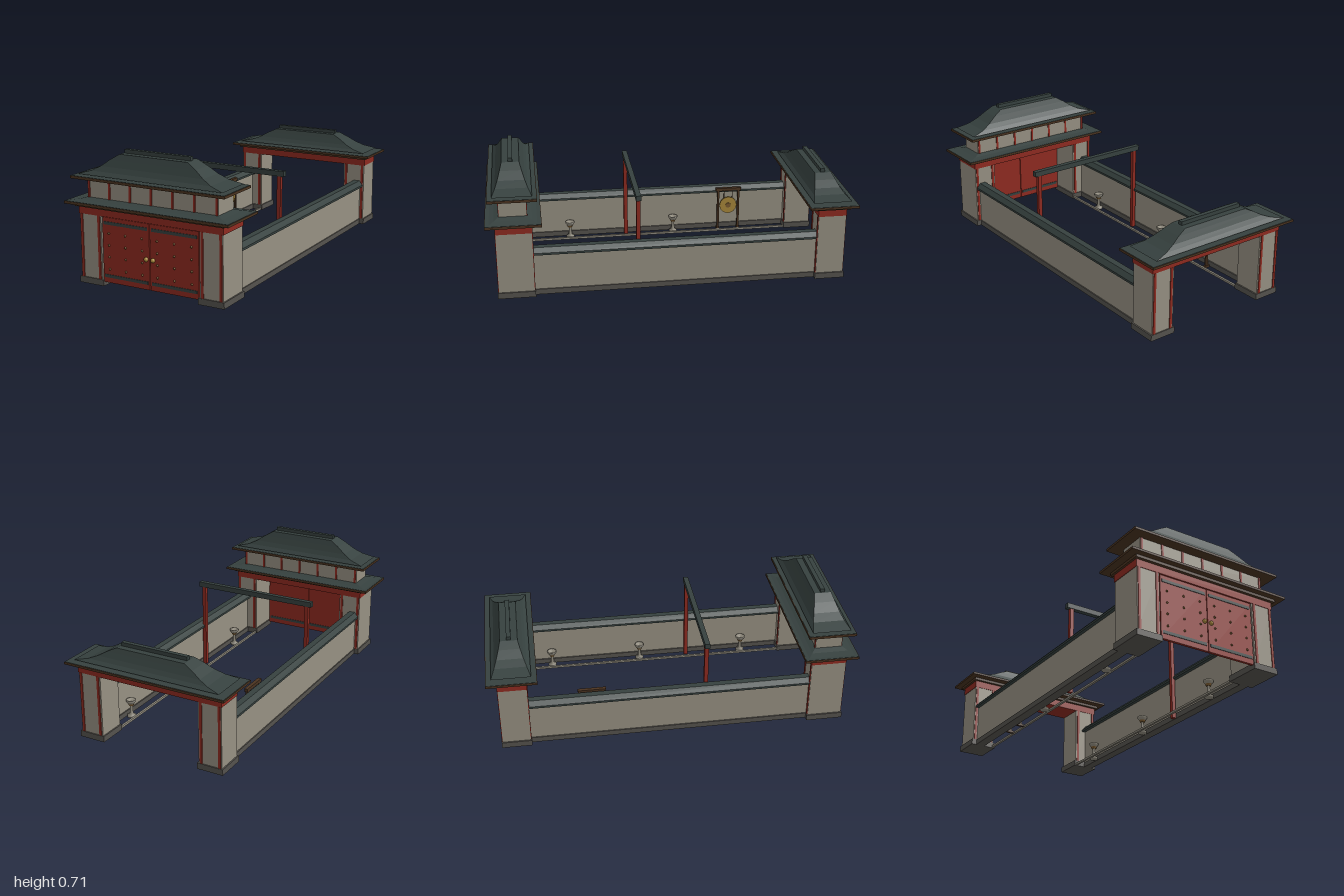
import * as THREE from 'three';

const mat = (name, color) => {
  const m = new THREE.MeshStandardMaterial({ color });
  m.name = name;
  return m;
};

export function createModel() {
  const tile = mat('dark roof tile', 0x36413f);
  const plaster = mat('plaster', 0x969082);
  const red = mat('red lacquer', 0x8e2a20);
  const wood = mat('dark wood', 0x4a3320);
  const stone = mat('foundation stone', 0x55524d);
  const gold = mat('brass', 0xa8873a);
  const paleStone = mat('pale stone', 0x8f8a7d);
  const bronze = mat('bronze', 0x7a5a30);

  const root = new THREE.Group();
  root.name = 'gatedCourtyard';

  const add = (parent, name, geo, material, x = 0, y = 0, z = 0) => {
    const m = new THREE.Mesh(geo, material);
    m.name = name;
    m.position.set(x, y, z);
    parent.add(m);
    return m;
  };
  // Box given by its limits on each axis
  const box = (parent, name, material, x0, x1, y0, y1, z0, z1) =>
    add(parent, name, new THREE.BoxGeometry(x1 - x0, y1 - y0, z1 - z0), material,
      (x0 + x1) / 2, (y0 + y1) / 2, (z0 + z1) / 2);
  const group = (name, z = 0) => {
    const g = new THREE.Group();
    g.name = name;
    g.position.z = z;
    root.add(g);
    return g;
  };

  // Rectangular rings [halfX, y, halfZ] joined into a closed, faceted roof
  const roofGeometry = (rings) => {
    const pos = [];
    const corner = ([x, y, z], k) => [[x, y, z], [x, y, -z], [-x, y, -z], [-x, y, z]][k % 4];
    const quad = (a, b, c, d) => pos.push(...a, ...b, ...c, ...a, ...c, ...d);
    for (let i = 0; i < rings.length - 1; i++)
      for (let k = 0; k < 4; k++)
        quad(corner(rings[i], k), corner(rings[i], k + 1), corner(rings[i + 1], k + 1), corner(rings[i + 1], k));
    const b = rings[0], t = rings[rings.length - 1];
    quad(corner(t, 0), corner(t, 1), corner(t, 2), corner(t, 3));
    quad(corner(b, 3), corner(b, 2), corner(b, 1), corner(b, 0));
    const g = new THREE.BufferGeometry();
    g.setAttribute('position', new THREE.Float32BufferAttribute(pos, 3));
    g.computeVertexNormals();
    return g;
  };

  // Eave board with a thin tiled top
  const eave = (parent, hx, hz, y0, y1, dz = 0) => {
    box(parent, 'eaveBoard', wood, -hx, hx, y0, y1, dz - hz, dz + hz);
    box(parent, 'eaveTiles', tile, -hx + 0.003, hx - 0.003, y1, y1 + 0.002, dz - hz + 0.003, dz + hz - 0.003);
  };

  // Concave hipped roof with a ridge cap
  const hipRoof = (parent, y, h) => {
    const profile = [[0.425, 0, 0.105], [0.35, 0.18, 0.086], [0.3, 0.41, 0.072], [0.25, 0.73, 0.058], [0.2, 1, 0.047]];
    add(parent, 'hippedRoof', roofGeometry(profile.map(([x, t, z]) => [x, y + t * h, z])), tile);
    box(parent, 'ridgeCap', tile, -0.193, 0.193, y + h, y + h + 0.02, -0.012, 0.012);
  };

  // Two piers, corner posts, lintel and beam, shared by both gates
  const gateFrame = (parent, hz) => {
    for (const s of [-1, 1]) {
      const span = (a, b) => (s > 0 ? [a, b] : [-b, -a]);
      box(parent, 'pierBase', stone, ...span(0.282, 0.43), 0, 0.033, -hz - 0.006, hz + 0.006);
      box(parent, 'pier', plaster, ...span(0.29, 0.422), 0.033, 0.37, -hz, hz);
      for (const x of [0.305, 0.41])
        for (const f of [-1, 1])
          box(parent, 'pierPost', red, ...span(x - 0.007, x + 0.007), 0.033, 0.37, f * hz - 0.004, f * hz + 0.004);
    }
    box(parent, 'lintel', red, -0.425, 0.425, 0.37, 0.41, -hz - 0.003, hz + 0.003);
    box(parent, 'beam', wood, -0.437, 0.437, 0.41, 0.425, -hz - 0.02, hz + 0.02);
  };

  // Front gate
  const front = group('frontGate', 0.852);
  gateFrame(front, 0.095);
  eave(front, 0.48, 0.148, 0.425, 0.438);
  add(front, 'skirtRoof', roofGeometry([[0.46, 0.441, 0.125], [0.42, 0.446, 0.1], [0.387, 0.455, 0.075]]), tile);
  box(front, 'upperStorey', plaster, -0.385, 0.385, 0.44, 0.556, -0.072, 0.072);
  for (let i = -3; i <= 3; i++)
    for (const f of [-1, 1])
      box(front, 'upperPost', red, i * 0.125 - 0.006, i * 0.125 + 0.006, 0.44, 0.556, f * 0.072 - 0.004, f * 0.072 + 0.004);
  eave(front, 0.45, 0.13, 0.556, 0.569);
  hipRoof(front, 0.578, 0.112);

  // Double doors with iron bands, studs and knobs
  const studGeo = new THREE.SphereGeometry(0.006, 8, 6);
  const knobGeo = new THREE.SphereGeometry(0.012, 10, 8);
  for (const s of [-1, 1]) {
    const door = new THREE.Group();
    door.name = s > 0 ? 'leftDoor' : 'rightDoor';
    front.add(door);
    const span = (a, b) => (s > 0 ? [a, b] : [-b, -a]);
    box(door, 'doorLeaf', red, ...span(0.002, 0.284), 0.022, 0.367, 0.078, 0.093);
    for (const y of [0.058, 0.338])
      box(door, 'doorBand', tile, ...span(0.012, 0.275), y - 0.008, y + 0.008, 0.075, 0.096);
    for (const x of [0.045, 0.145, 0.245])
      for (const y of [0.095, 0.16, 0.222, 0.285])
        add(door, 'doorStud', studGeo, bronze, s * x, y, 0.095);
    add(door, 'doorKnob', knobGeo, gold, s * 0.02, 0.182, 0.097);
  }

  // Back gate, an open passage
  const back = group('backGate', -0.865);
  gateFrame(back, 0.076);
  eave(back, 0.468, 0.135, 0.427, 0.439);
  hipRoof(back, 0.45, 0.09);

  // Side walls with tiled coping and low inner rails
  const coping = new THREE.Shape();
  [[-0.04, 0], [0.04, 0], [0.04, 0.012], [0.018, 0.036], [-0.018, 0.036], [-0.04, 0.012]]
    .forEach(([x, y], i) => (i ? coping.lineTo(x, y) : coping.moveTo(x, y)));
  const copingGeo = new THREE.ExtrudeGeometry(coping, { depth: 1.55, bevelEnabled: false });
  const walls = group('sideWalls');
  for (const s of [-1, 1]) {
    const span = (a, b) => (s > 0 ? [a, b] : [-b, -a]);
    box(walls, 'wall', plaster, ...span(0.357, 0.397), 0.03, 0.24, -0.79, 0.76);
    box(walls, 'wallFooting', stone, ...span(0.35, 0.403), 0, 0.03, -0.79, 0.76);
    add(walls, 'wallCoping', copingGeo, tile, s * 0.376, 0.236, -0.79);
    box(walls, 'groundRail', paleStone, ...span(0.288, 0.3), 0.002, 0.014, -0.79, 0.76);
  }

  // Stone lamps along the walls
  const lampProfile = [[0, 0], [0.024, 0], [0.024, 0.012], [0.01, 0.02], [0.008, 0.07], [0.016, 0.078],
    [0.028, 0.094], [0.028, 0.102], [0.022, 0.102], [0, 0.09]].map(([x, y]) => new THREE.Vector2(x, y));
  const lampGeo = new THREE.LatheGeometry(lampProfile, 12);
  const collarGeo = new THREE.CylinderGeometry(0.018, 0.013, 0.012, 12);
  for (const [x, z] of [[0.325, -0.63], [0.325, -0.1], [0.325, 0.525], [-0.325, -0.1], [-0.325, 0.525]]) {
    const lamp = group('stoneLamp');
    lamp.position.set(x, 0, z);
    add(lamp, 'lampBody', lampGeo, paleStone);
    add(lamp, 'lampCollar', collarGeo, bronze, 0, 0.074, 0);
  }

  // Gong in a wooden frame
  const gong = group('gong', -0.44);
  gong.position.x = -0.325;
  for (const s of [-1, 1]) {
    box(gong, 'gongPost', wood, -0.007, 0.007, 0, 0.255, s * 0.062 - 0.006, s * 0.062 + 0.006);
    box(gong, 'gongFoot', wood, -0.02, 0.02, 0, 0.012, s * 0.062 - 0.008, s * 0.062 + 0.008);
  }
  box(gong, 'gongTopBar', wood, -0.01, 0.01, 0.25, 0.268, -0.077, 0.077);
  const disc = add(gong, 'gongDisc', new THREE.CylinderGeometry(0.052, 0.052, 0.008, 24), gold, 0, 0.155, 0);
  const boss = add(gong, 'gongBoss', new THREE.CylinderGeometry(0.016, 0.016, 0.014, 16), bronze, 0, 0.155, 0);
  disc.rotation.z = boss.rotation.z = Math.PI / 2;
  for (const s of [-1, 1])
    box(gong, 'gongCord', wood, -0.002, 0.002, 0.195, 0.25, s * 0.025 - 0.002, s * 0.025 + 0.002);

  // Tall archway spanning the courtyard
  const arch = group('courtyardArch', 0.187);
  for (const s of [-1, 1])
    box(arch, 'archPost', red, s * 0.335 - 0.011, s * 0.335 + 0.011, 0, 0.495, -0.011, 0.011);
  box(arch, 'archBeam', tile, -0.365, 0.365, 0.494, 0.523, -0.014, 0.014);

  return root;
}
